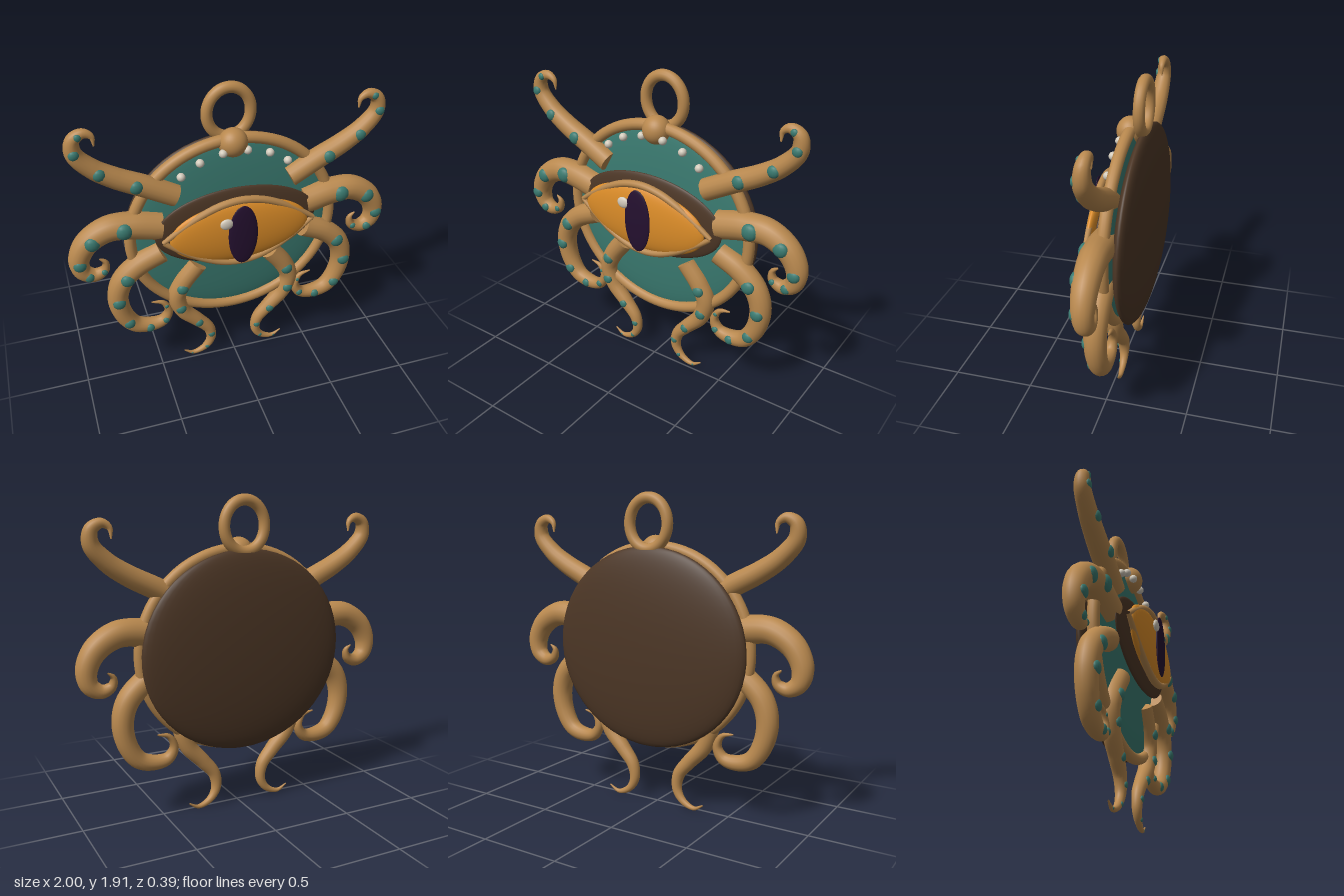
import * as THREE from 'three';

const mat = (name, color) => {
  const m = new THREE.MeshStandardMaterial({ color });
  m.name = name;
  return m;
};

// Tentacle centrelines in the xy plane, root to tip, with root radius and taper power
const TENTACLES = [
  {
    name: 'upperTentacle', root: 0.067, taper: 1.75, firstSucker: 1.35, suckers: 4,
    path: [[0.35, 1.31], [0.52, 1.4], [0.68, 1.48], [0.8, 1.56], [0.885, 1.66],
      [0.88, 1.74], [0.825, 1.77], [0.78, 1.745], [0.773, 1.685]],
  },
  {
    name: 'sideTentacle', root: 0.087, taper: 1.5, firstSucker: 1.35, suckers: 5,
    path: [[0.45, 1.12], [0.62, 1.155], [0.76, 1.155], [0.885, 1.08], [0.94, 0.97],
      [0.925, 0.88], [0.86, 0.84], [0.8, 0.865], [0.79, 0.915], [0.825, 0.945]],
  },
  {
    name: 'lowerTentacle', root: 0.071, taper: 1.95, firstSucker: 1.7, suckers: 6,
    path: [[0.455, 0.935], [0.6, 0.865], [0.705, 0.765], [0.743, 0.64], [0.72, 0.5],
      [0.65, 0.395], [0.55, 0.365], [0.47, 0.38], [0.433, 0.445], [0.465, 0.515], [0.54, 0.535]],
  },
  {
    name: 'bottomTentacle', root: 0.064, taper: 1.45, firstSucker: 1.25, suckers: 6,
    path: [[0.235, 0.795], [0.33, 0.67], [0.375, 0.56], [0.34, 0.43], [0.245, 0.32],
      [0.17, 0.225], [0.158, 0.13], [0.2, 0.06], [0.28, 0.027], [0.345, 0.06]],
  },
];

// Tube whose radius is a function of the curve parameter t
function taperedTube(curve, radiusAt, segs, sides) {
  const geo = new THREE.TubeGeometry(curve, segs, 1, sides, false);
  const pos = geo.attributes.position;
  const v = new THREE.Vector3();
  for (let i = 0; i <= segs; i++) {
    const centre = curve.getPointAt(i / segs);
    const r = radiusAt(curve.getUtoTmapping(i / segs));
    for (let j = 0; j <= sides; j++) {
      const n = i * (sides + 1) + j;
      v.fromBufferAttribute(pos, n).sub(centre).multiplyScalar(r).add(centre);
      pos.setXYZ(n, v.x, v.y, v.z);
    }
  }
  return geo;
}

export function createModel() {
  const bronze = mat('bronze', 0xb8884e);
  const teal = mat('teal', 0x3a7a70);
  const brown = mat('dark brown', 0x4c3625);
  const amber = mat('amber', 0xdb8c28);
  const purple = mat('dark purple', 0x24102f);
  const pearl = mat('pearl', 0xd2cabb);

  const group = new THREE.Group();
  group.name = 'eyePendant';

  const add = (name, geometry, material, parent = group) => {
    const mesh = new THREE.Mesh(geometry, material);
    mesh.name = name;
    parent.add(mesh);
    return mesh;
  };

  const ellipsoid = (name, material, [x, y, z], [rx, ry, rz], parent = group, seg = 32) => {
    const mesh = add(name, new THREE.SphereGeometry(1, seg, Math.ceil(seg * 0.6)), material, parent);
    mesh.position.set(x, y, z);
    mesh.scale.set(rx, ry, rz);
  };

  // Elliptical hoop lying in the xy plane
  const hoop = (name, y, z, rx, ry, tube) => {
    const pts = [];
    for (let i = 0; i < 24; i++) {
      const a = (i / 24) * Math.PI * 2;
      pts.push(new THREE.Vector3(rx * Math.cos(a), y + ry * Math.sin(a), z));
    }
    const curve = new THREE.CatmullRomCurve3(pts, true);
    add(name, new THREE.TubeGeometry(curve, 96, tube, 14, true), bronze);
  };

  // Medallion body
  ellipsoid('backPlate', brown, [0, 1.005, -0.11], [0.65, 0.605, 0.085], group, 48);
  ellipsoid('tealDisc', teal, [0, 1.01, -0.045], [0.625, 0.595, 0.05], group, 48);
  hoop('rimRing', 1.01, -0.03, 0.633, 0.597, 0.035);

  // Hanging loop and its bead
  hoop('hangingLoop', 1.74, -0.1, 0.13, 0.148, 0.034);
  ellipsoid('loopBead', bronze, [0, 1.588, -0.02], [0.086, 0.086, 0.08]);

  // Pearls along the upper rim
  for (const s of [-1, 1]) {
    for (const [x, y] of [[0.073, 1.55], [0.208, 1.512], [0.32, 1.442]]) {
      ellipsoid('rimPearl', pearl, [s * x, y, 0.025], [0.025, 0.025, 0.025], group, 16);
    }
  }

  // Eye
  const eye = new THREE.Group();
  eye.name = 'eye';
  group.add(eye);
  ellipsoid('eyeSocket', brown, [0, 1.077, 0.05], [0.5, 0.256, 0.035], eye, 48);
  ellipsoid('eyeball', amber, [0, 1.077, 0.118], [0.425, 0.205, 0.052], eye, 48);
  ellipsoid('pupil', purple, [0, 1.08, 0.177], [0.09, 0.2, 0.016], eye);
  ellipsoid('eyeHighlight', pearl, [-0.1, 1.175, 0.178], [0.04, 0.035, 0.016], eye, 20);

  // Eyelids: arched tubes that thin toward the corners
  for (const s of [1, -1]) {
    const pts = [];
    for (let i = -4; i <= 4; i++) {
      const h = 0.215 * Math.cos((i / 4) * Math.PI / 2);
      pts.push(new THREE.Vector3(0.465 * i / 4, 1.077 + s * h, 0.115 + h * 0.07));
    }
    const lid = taperedTube(new THREE.CatmullRomCurve3(pts),
      (t) => 0.012 + 0.011 * Math.sqrt(Math.max(0, Math.sin(Math.PI * t))), 64, 10);
    add(s > 0 ? 'upperEyelid' : 'lowerEyelid', lid, bronze, eye);
  }

  // Four mirrored pairs of tentacles
  for (const s of [-1, 1]) {
    for (const { name, path, root, taper, firstSucker, suckers } of TENTACLES) {
      const limb = new THREE.Group();
      limb.name = (s > 0 ? 'left ' : 'right ') + name;
      group.add(limb);

      const last = path.length - 1;
      const pts = path.map(([x, y], i) => new THREE.Vector3(s * x, y, -0.01 - 0.02 * i / last));
      const curve = new THREE.CatmullRomCurve3(pts);
      const radiusAt = (t) => 0.004 + (root - 0.004) * (1 - t ** taper);
      add('arm', taperedTube(curve, radiusAt, 72, 16), bronze, limb);

      // Flat cut at the root
      const cap = add('rootCap', new THREE.CircleGeometry(root, 16), bronze, limb);
      cap.position.copy(pts[0]);
      cap.lookAt(pts[0].clone().sub(curve.getTangentAt(0)));

      // Suckers on the front, sunk into the arm and shrinking with it
      for (let k = 0; k < suckers; k++) {
        const t = (firstSucker + 1.38 * k) / last;
        const p = curve.getPoint(t);
        const r = radiusAt(t);
        ellipsoid('sucker', teal, [p.x, p.y, p.z + 0.8 * r], [0.62 * r, 0.62 * r, 0.38 * r], limb, 14);
      }
    }
  }

  return group;
}
